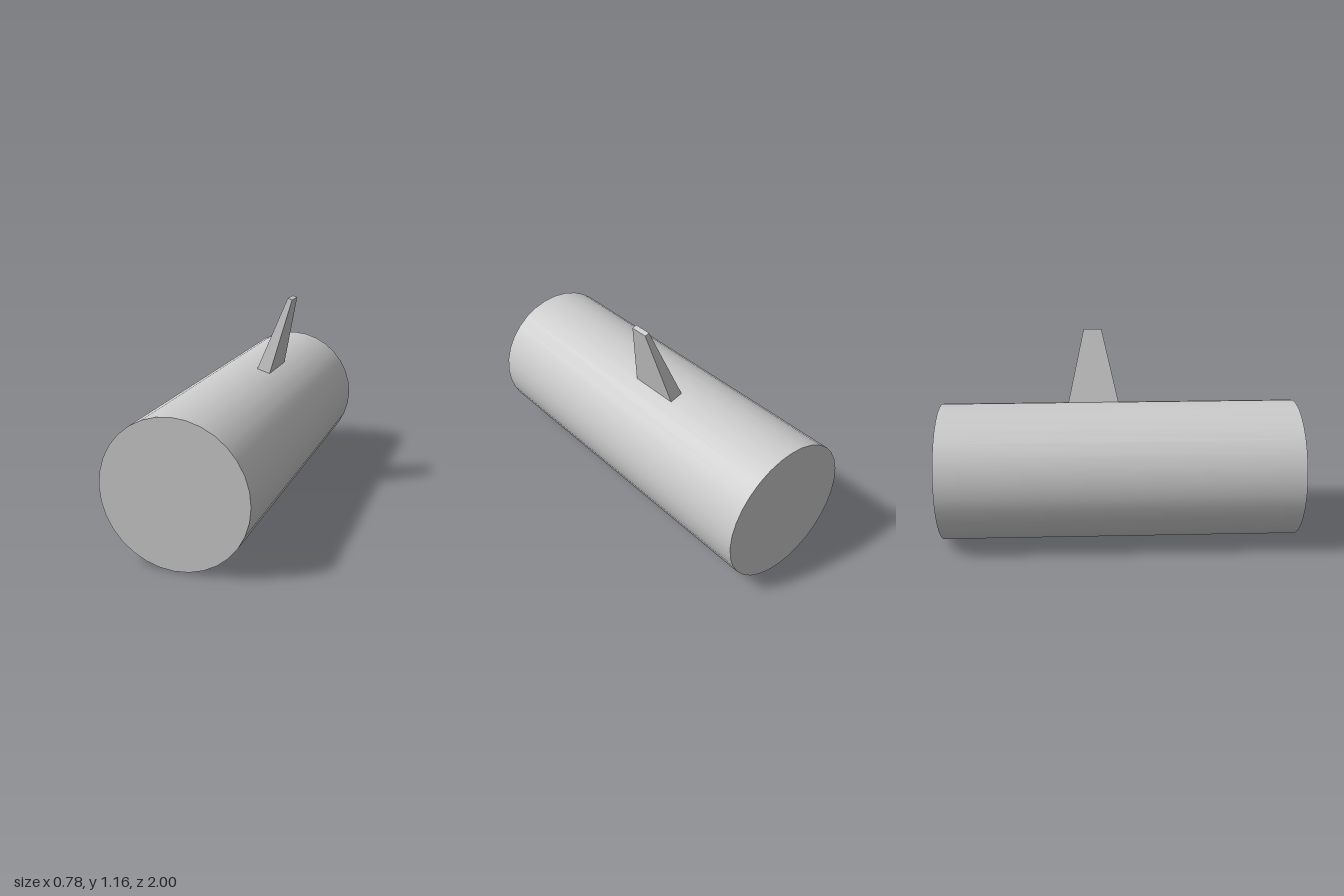
import * as THREE from 'three';

export function createModel() {
  const group = new THREE.Group();
  const material = new THREE.MeshStandardMaterial({ color: 0xcccccc });
  const radius = 0.388, centreY = 0.389;

  // Long cylinder lying along z
  const bodyGeometry = new THREE.CylinderGeometry(radius, radius, 2, 32);
  bodyGeometry.rotateX(Math.PI / 2);
  const body = new THREE.Mesh(bodyGeometry, material);
  body.name = 'body';
  body.position.y = centreY;
  group.add(body);

  // Tapered fin standing on one facet of the cylinder: a box with moved corners
  const facetPoint = (i) => {
    const a = (i * Math.PI) / 16;
    return [radius * Math.sin(a), centreY + radius * Math.cos(a)];
  };
  const base = { inner: facetPoint(1), outer: facetPoint(2), front: 0, back: -0.285 };
  const tip = { inner: [0.22, 1.16], outer: [0.245, 1.152], front: -0.092, back: -0.193 };

  const finGeometry = new THREE.BoxGeometry(1, 1, 1);
  const p = finGeometry.attributes.position;
  for (let i = 0; i < p.count; i++) {
    const end = p.getY(i) > 0 ? tip : base;
    const [x, y] = p.getX(i) > 0 ? end.outer : end.inner;
    p.setXYZ(i, x, y, p.getZ(i) > 0 ? end.front : end.back);
  }
  finGeometry.computeVertexNormals();
  const fin = new THREE.Mesh(finGeometry, material);
  fin.name = 'fin';
  group.add(fin);

  return group;
}
